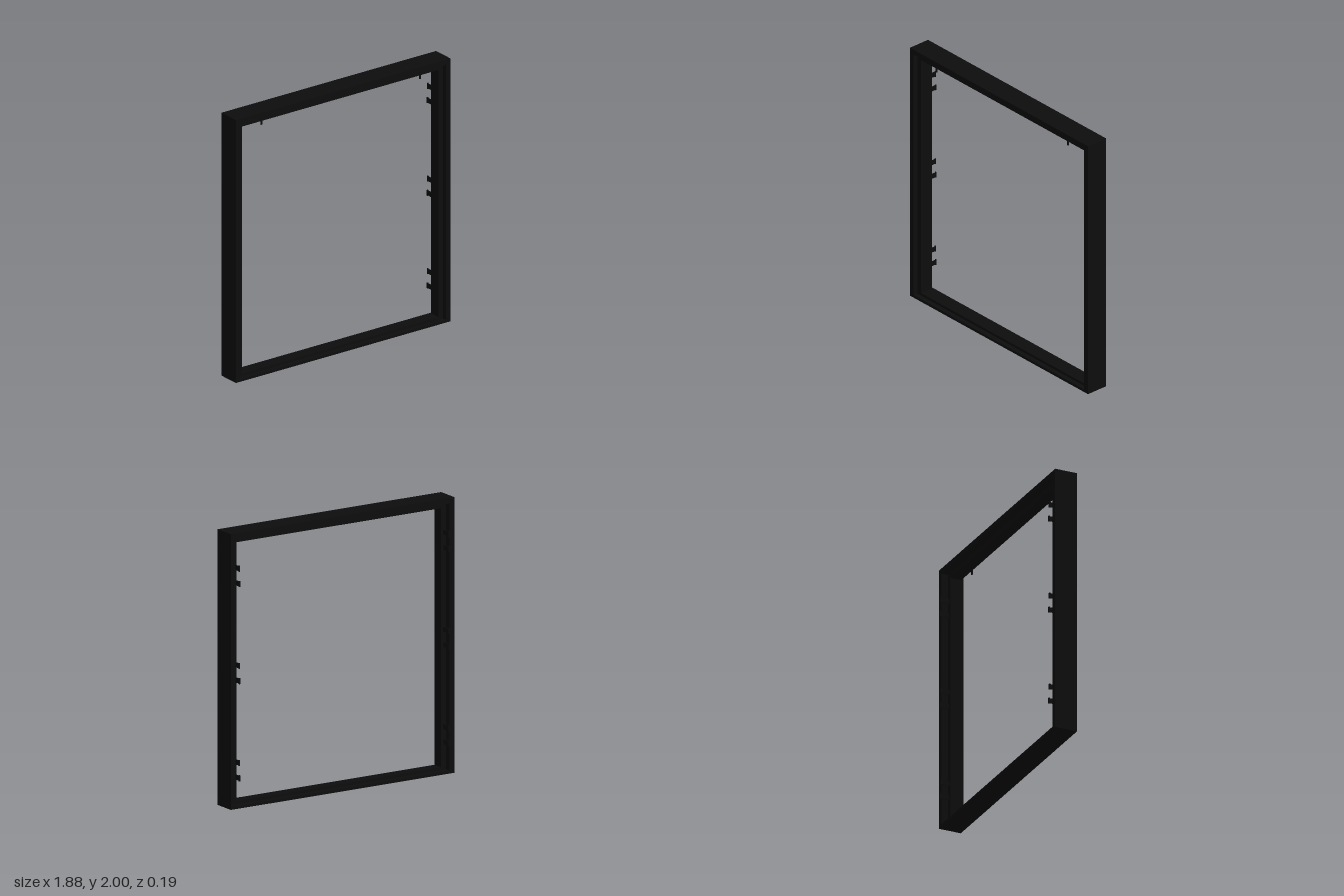
import * as THREE from 'three';

const BLACK = new THREE.MeshStandardMaterial({ color: 0x0d0d0d });
BLACK.side = THREE.DoubleSide;

// Half width, bottom and top of each rectangular outline of the frame section
const OUTER = { w: 0.94, y0: 0, y1: 2 };
const REBATE = { w: 0.9, y0: 0.02, y1: 1.96 };
const STOP = { w: 0.86, y0: 0.04, y1: 1.92 };
const BACK = -0.07, FRONT = 0.1, STOP_BACK = -0.02, STOP_FRONT = 0.065;

// Stepped section swept round four mitred corners
function frameGeometry() {
  const section = [
    [OUTER, BACK], [OUTER, FRONT], [REBATE, FRONT], [REBATE, STOP_FRONT],
    [STOP, STOP_FRONT], [STOP, STOP_BACK], [REBATE, STOP_BACK], [REBATE, BACK],
  ];
  const point = (corner, j) => {
    const [o, z] = section[j % section.length];
    const c = corner % 4; // bottom +x, top +x, top -x, bottom -x
    return [c < 2 ? o.w : -o.w, c === 1 || c === 2 ? o.y1 : o.y0, z];
  };
  const positions = [];
  for (let c = 0; c < 4; c++) {
    for (let j = 0; j < section.length; j++) {
      const a = point(c, j), b = point(c + 1, j);
      const d = point(c, j + 1), e = point(c + 1, j + 1);
      positions.push(...a, ...b, ...e, ...a, ...e, ...d);
    }
  }
  const geo = new THREE.BufferGeometry();
  geo.setAttribute('position', new THREE.Float32BufferAttribute(positions, 3));
  geo.computeVertexNormals();
  return geo;
}

function add(parent, geo, name, x, y, z) {
  const mesh = new THREE.Mesh(geo, BLACK);
  mesh.name = name;
  mesh.position.set(x, y, z);
  parent.add(mesh);
  return mesh;
}

export function createModel() {
  const model = new THREE.Group();
  model.name = 'doorFrame';
  add(model, frameGeometry(), 'frame', 0, 0, 0);

  // Hinge hooks in the back rebate: three pairs on each jamb
  const arm = new THREE.BoxGeometry(0.006, 0.036, 0.066);
  const knuckle = new THREE.CylinderGeometry(0.006, 0.006, 0.042, 12);
  for (const side of [-1, 1]) {
    for (const y of [0.28, 0.985, 1.69]) {
      const hinge = new THREE.Group();
      hinge.name = side > 0 ? 'leftHinge' : 'rightHinge';
      hinge.position.set(side * 0.88, y, 0);
      for (const [dy, dz] of [[0.055, 0], [-0.055, -0.004]]) {
        add(hinge, arm, 'hingeArm', 0, dy, -0.053 + dz);
        add(hinge, knuckle, 'hingeKnuckle', 0, dy, -0.085 + dz);
      }
      model.add(hinge);
    }
  }

  // Small pegs hanging from the head, in front of the stop
  const peg = new THREE.BoxGeometry(0.012, 0.065, 0.008);
  for (const side of [-1, 1]) add(model, peg, 'headPeg', side * 0.695, 1.9275, 0.069);

  return model;
}
